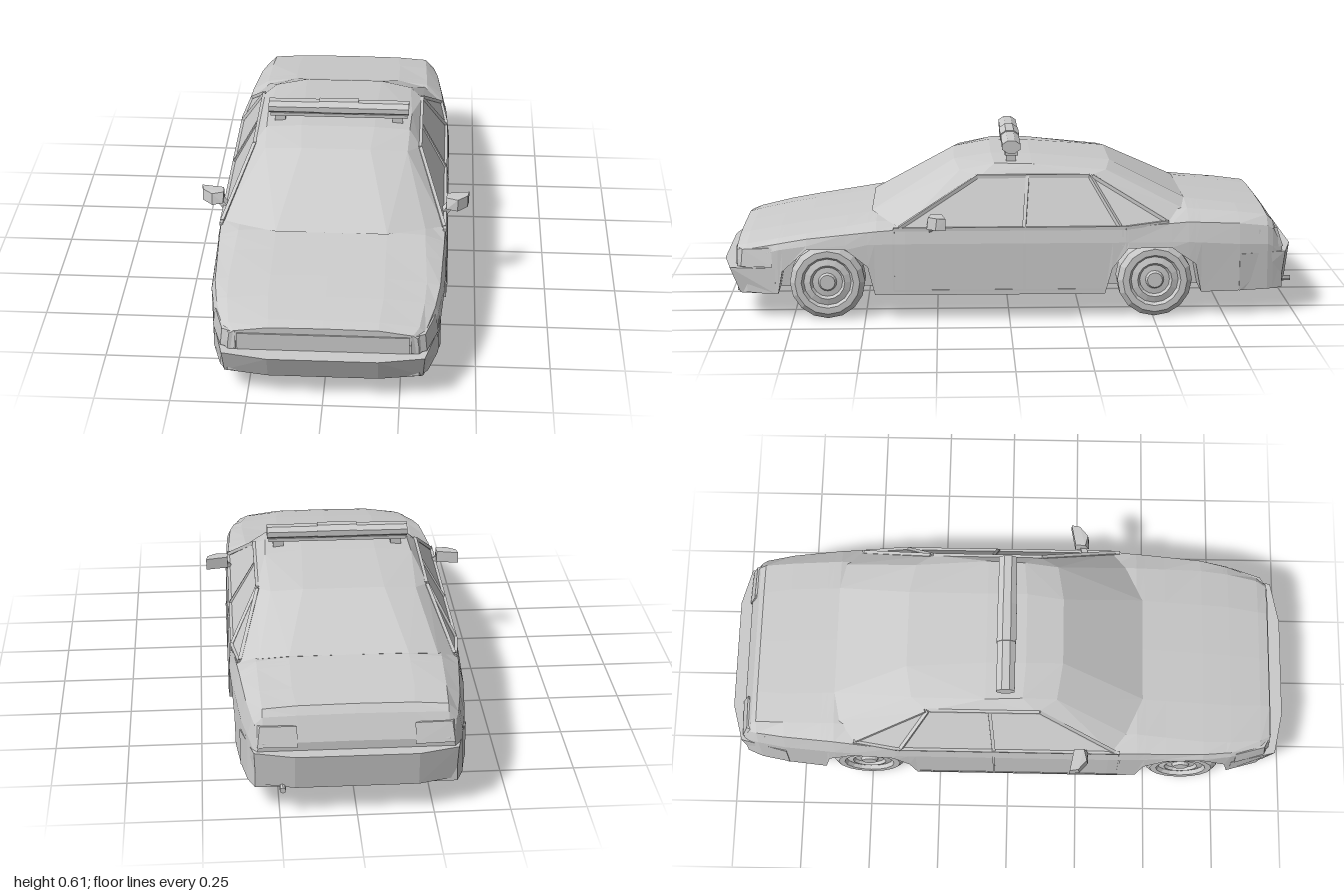
import * as THREE from 'three';
import { ConvexGeometry } from 'three/addons/geometries/ConvexGeometry.js';

const material = new THREE.MeshStandardMaterial({ color: 0xcccccc, flatShading: true });
const V = (x, y, z) => new THREE.Vector3(x, y, z);

function add(parent, name, geometry) {
  const mesh = new THREE.Mesh(geometry, material);
  mesh.name = name;
  parent.add(mesh);
  return mesh;
}

// Faceted solid around corner points; mirrored across x when symmetric
function hull(points, symmetric = true) {
  const all = [];
  for (const [x, y, z] of points) {
    all.push(V(x, y, z));
    if (symmetric && x !== 0) all.push(V(-x, y, z));
  }
  return new ConvexGeometry(all);
}

// Thin square bar between two points
function bar(parent, name, a, b, width) {
  const p = V(...a), q = V(...b);
  const mesh = add(parent, name, new THREE.BoxGeometry(width, width, p.distanceTo(q)));
  mesh.position.copy(p).add(q).multiplyScalar(0.5);
  mesh.lookAt(q);
  return mesh;
}

// Linear interpolation in rows sorted by descending z (column 0)
function sample(rows, z) {
  for (let i = 0; i < rows.length - 1; i++) {
    const a = rows[i], b = rows[i + 1];
    if (z <= a[0] && z >= b[0]) {
      const t = (a[0] - z) / (a[0] - b[0]);
      return a.map((v, k) => v + (b[k] - v) * t);
    }
  }
  return rows[rows.length - 1];
}

// Body stations: z, centre y, crease x, edge x, edge y, belt x, belt y, flank x, flank y
const STATIONS = [
  [0.945, 0.262, 0.18, 0.29, 0.245, 0.305, 0.235, 0.31, 0.2],
  [0.91, 0.272, 0.18, 0.31, 0.255, 0.33, 0.24, 0.338, 0.21],
  [0.8, 0.293, 0.19, 0.325, 0.278, 0.36, 0.265, 0.37, 0.245],
  [0.7, 0.31, 0.19, 0.33, 0.295, 0.375, 0.285, 0.385, 0.262],
  [0.46, 0.345, 0.19, 0.32, 0.335, 0.386, 0.312, 0.394, 0.268],
  [0.36, 0.345, 0.19, 0.32, 0.335, 0.388, 0.32, 0.397, 0.27],
  [-0.4, 0.36, 0.2, 0.32, 0.345, 0.388, 0.322, 0.397, 0.27],
  [-0.62, 0.388, 0.2, 0.31, 0.372, 0.368, 0.335, 0.386, 0.268],
  [-0.8, 0.367, 0.2, 0.305, 0.357, 0.35, 0.325, 0.367, 0.255],
  [-0.9, 0.355, 0.19, 0.3, 0.345, 0.333, 0.312, 0.348, 0.25],
  [-0.92, 0.33, 0.19, 0.3, 0.325, 0.325, 0.3, 0.34, 0.24],
  [-0.955, 0.25, 0.18, 0.3, 0.248, 0.315, 0.235, 0.325, 0.2],
];

// Lower edge of the flanks, rising over both wheels: z, y
const SILL = [
  [0.945, 0.09], [0.8, 0.09], [0.785, 0.17], [0.7, 0.25], [0.565, 0.25], [0.49, 0.19], [0.465, 0.09],
  [-0.33, 0.09], [-0.355, 0.18], [-0.41, 0.25], [-0.56, 0.25], [-0.645, 0.19], [-0.665, 0.09], [-0.955, 0.09],
];

function bodyGeometry() {
  const zs = [...new Set([...STATIONS, ...SILL].map((r) => r[0]))].sort((a, b) => b - a);
  const positions = [], index = [];
  const n = 14;
  zs.forEach((z) => {
    const [, yc, xm, xe, ye, xb, yb, xf, yf] = sample(STATIONS, z);
    const ys = sample(SILL, z)[1];
    // Top centre, down the flank, into the wheel well, floor centre
    const half = [[0, yc], [xm, yc - 0.002], [xe, ye], [xb, yb], [xf, yf], [xf + 0.003, ys], [0.265, ys], [0, 0.09]];
    half[6][1] = ys;
    half.splice(7, 0, [0.264, 0.09]);
    const ring = [...half, ...half.slice(1, -1).reverse().map(([x, y]) => [-x, y])];
    ring.forEach(([x, y]) => positions.push(x, y, z));
  });
  const count = positions.length / 3 / zs.length;
  for (let i = 0; i < zs.length - 1; i++) {
    for (let j = 0; j < count; j++) {
      const a = i * count + j, b = i * count + (j + 1) % count;
      index.push(a, b, a + count, b, b + count, a + count);
    }
  }
  // Nose and tail caps
  const last = (zs.length - 1) * count;
  for (let k = 1; k < count - 1; k++) {
    index.push(0, k + 1, k, last, last + k, last + k + 1);
  }
  const geometry = new THREE.BufferGeometry();
  geometry.setAttribute('position', new THREE.Float32BufferAttribute(positions, 3));
  geometry.setIndex(index);
  geometry.computeVertexNormals();
  return geometry;
}

// Tyre, stepped rim and hub as one turned profile
function wheelGeometry() {
  const profile = [
    [0, -0.05], [0.115, -0.05], [0.13, -0.04], [0.13, 0.037], [0.112, 0.053], [0.09, 0.053],
    [0.082, 0.04], [0.06, 0.046], [0.052, 0.036], [0.032, 0.038], [0.026, 0.048], [0, 0.048],
  ].map(([r, h]) => new THREE.Vector2(r, h));
  return new THREE.LatheGeometry(profile, 16).rotateZ(-Math.PI / 2);
}

export function createModel() {
  const car = new THREE.Group();
  car.name = 'car';
  add(car, 'body', bodyGeometry());

  // Cabin with windscreen, roof, rear window and sloping sides
  add(car, 'cabin', hull([
    [0.19, 0.345, 0.48], [0.32, 0.335, 0.42], [0.385, 0.32, 0.37],
    [0.12, 0.515, 0.19], [0.25, 0.5, 0.17], [0.295, 0.485, 0.1],
    [0.13, 0.537, 0.06], [0.255, 0.524, 0.05], [0.13, 0.535, -0.08], [0.26, 0.522, -0.08],
    [0.14, 0.512, -0.36], [0.25, 0.498, -0.34], [0.295, 0.485, -0.28],
    [0.2, 0.388, -0.62], [0.3, 0.372, -0.6], [0.365, 0.335, -0.55], [0.385, 0.32, -0.4],
  ]));

  // Bumpers
  add(car, 'frontBumper', hull([
    [0.18, 0.175, 1.0], [0.33, 0.175, 0.97], [0.37, 0.18, 0.81],
    [0.18, 0.085, 0.96], [0.325, 0.085, 0.935], [0.37, 0.09, 0.81],
  ]));
  add(car, 'rearBumper', hull([
    [0.2, 0.22, -1.0], [0.33, 0.22, -0.965], [0.372, 0.22, -0.8],
    [0.2, 0.1, -0.985], [0.325, 0.1, -0.95], [0.372, 0.09, -0.8],
  ]));
  add(car, 'grille', new THREE.BoxGeometry(0.56, 0.06, 0.01)).position.set(0, 0.208, 0.945);

  for (const side of [1, -1]) {
    const S = ([x, y, z]) => [x * side, y, z];

    // Wheels
    for (const [name, z] of [['frontWheel', 0.63], ['rearWheel', -0.505]]) {
      const wheel = add(car, name, wheelGeometry());
      wheel.position.set(0.327 * side, 0.13, z);
      if (side < 0) wheel.rotation.y = Math.PI;
    }

    // Corner lamps
    add(car, 'headlight', hull([
      [0.285, 0.242, 0.948], [0.285, 0.18, 0.952], [0.33, 0.24, 0.925], [0.336, 0.18, 0.93],
      [0.362, 0.25, 0.82], [0.372, 0.185, 0.82], [0.28, 0.2, 0.83],
    ].map(S), false));
    add(car, 'tailLight', hull([
      [0.19, 0.3, -0.94], [0.19, 0.235, -0.963], [0.31, 0.3, -0.937], [0.318, 0.235, -0.958],
      [0.343, 0.3, -0.87], [0.355, 0.235, -0.87], [0.2, 0.26, -0.88],
    ].map(S), false));

    // Window frames
    const frame = [
      [[0.384, 0.324, 0.38], [0.294, 0.485, 0.11]],
      [[0.294, 0.485, 0.11], [0.294, 0.485, -0.28]],
      [[0.384, 0.324, -0.05], [0.294, 0.485, -0.065]],
      [[0.384, 0.324, -0.38], [0.294, 0.485, -0.28]],
      [[0.362, 0.34, -0.54], [0.294, 0.485, -0.29]],
      [[0.386, 0.32, 0.4], [0.386, 0.32, -0.4]],
      [[0.386, 0.32, -0.4], [0.365, 0.335, -0.55]],
    ];
    frame.forEach(([a, b]) => bar(car, 'windowFrame', S(a), S(b), 0.012));

    // Door seams and sill trim
    const seams = [
      [[0.396, 0.105, 0.4], [0.394, 0.27, 0.4]], [[0.394, 0.27, 0.4], [0.385, 0.318, 0.4]],
      [[0.398, 0.105, -0.05], [0.396, 0.27, -0.05]], [[0.396, 0.27, -0.05], [0.387, 0.318, -0.05]],
      [[0.398, 0.105, 0.4], [0.398, 0.105, -0.32]],
      [[0.394, 0.26, -0.39], [0.386, 0.32, -0.39]],
    ];
    seams.forEach(([a, b]) => bar(car, 'doorSeam', S(a), S(b), 0.007));

    // Mirrors
    add(car, 'mirror', hull([
      [0.392, 0.338, 0.285], [0.39, 0.375, 0.27], [0.39, 0.333, 0.235], [0.392, 0.375, 0.235],
      [0.465, 0.333, 0.255], [0.465, 0.374, 0.25], [0.47, 0.333, 0.22], [0.47, 0.374, 0.22],
      [0.43, 0.33, 0.285], [0.43, 0.372, 0.28],
    ].map(S), false));
    bar(car, 'mirrorStalk', S([0.38, 0.318, 0.27]), S([0.405, 0.345, 0.26]), 0.022);

    // Light bar feet
    add(car, 'lightBarFoot', new THREE.BoxGeometry(0.038, 0.035, 0.035)).position.set(0.21 * side, 0.535, -0.01);
  }

  // Light bar with chamfered lens housings
  const lens = (length, radius) => new THREE.CylinderGeometry(radius, radius, length, 8)
    .rotateY(Math.PI / 8).rotateZ(Math.PI / 2);
  const c = Math.cos(Math.PI / 8);
  for (const [name, length, y, h, d] of [['lightBar', 0.5, 0.579, 0.044, 0.064], ['lightBarCentre', 0.14, 0.58, 0.05, 0.068]]) {
    const mesh = add(car, name, lens(length, 0.5 / c));
    mesh.scale.set(1, h, d);
    mesh.position.set(0, y, -0.01);
  }
  add(car, 'lightBarBase', new THREE.BoxGeometry(0.49, 0.012, 0.045)).position.set(0, 0.554, -0.01);

  // Exhaust pipe
  const pipe = add(car, 'exhaust', new THREE.CylinderGeometry(0.01, 0.01, 0.12, 8).rotateX(Math.PI / 2));
  pipe.position.set(0.24, 0.1, -0.94);
  return car;
}
